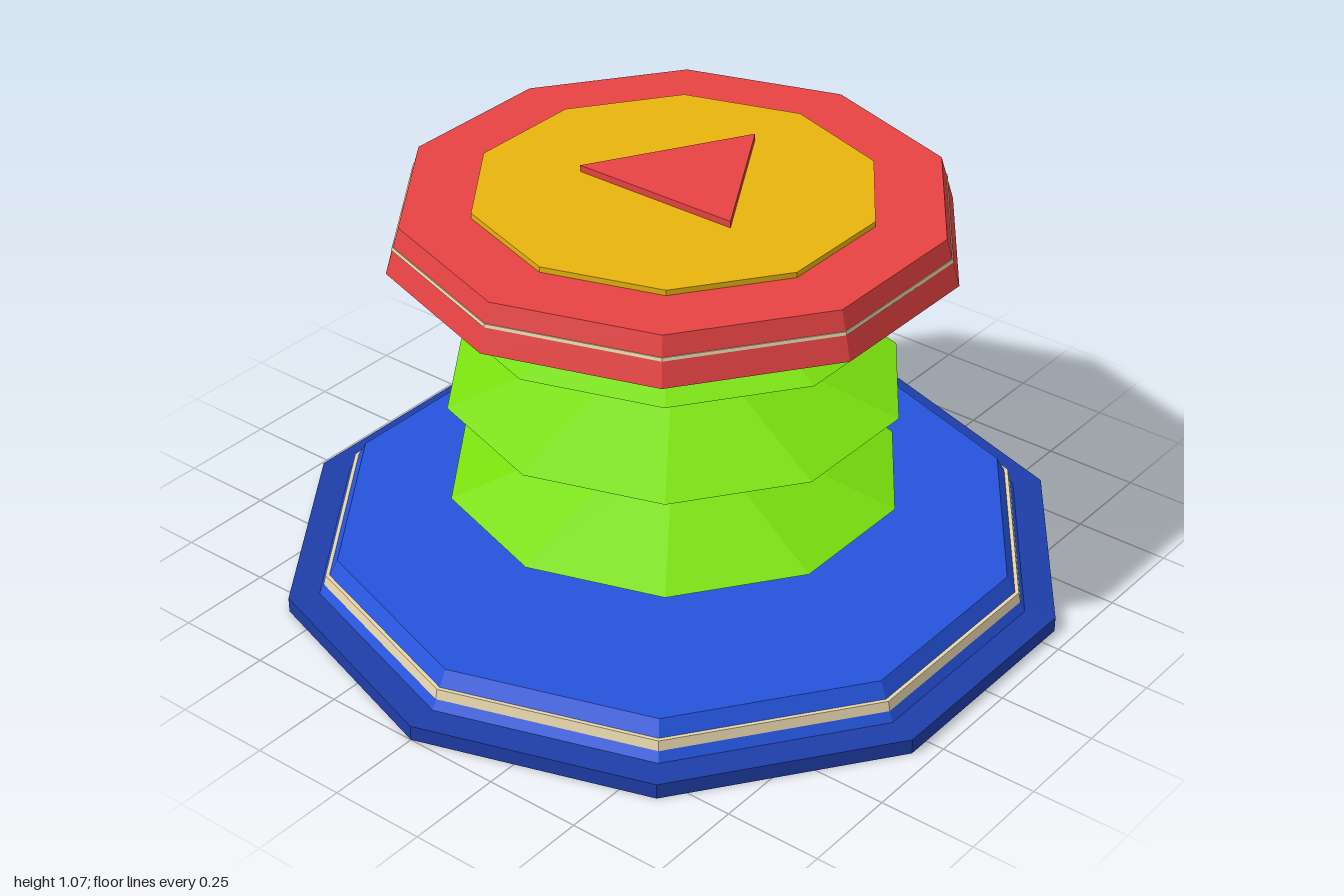
import * as THREE from 'three';

const SIDES = 10;

function material(name, color) {
  const m = new THREE.MeshStandardMaterial({ color });
  m.name = name;
  return m;
}

export function createModel() {
  const model = new THREE.Group();
  model.name = 'springButton';

  const navy = material('navy', 0x1e3ea8);
  const blue = material('blue', 0x2554dc);
  const cream = material('cream', 0xe6d6ac);
  const green = material('green', 0x7ae00e);
  const red = material('red', 0xe84343);
  const gold = material('gold', 0xecb80e);

  // Faceted prism or frustum between two heights, with a corner on +x
  function ring(name, mat, y0, y1, r0, r1, sides = SIDES, open = false) {
    const geo = new THREE.CylinderGeometry(r1, r0, y1 - y0, sides, 1, open, Math.PI / 2).toNonIndexed();
    geo.computeVertexNormals();
    const mesh = new THREE.Mesh(geo, mat);
    mesh.name = name;
    mesh.position.y = (y0 + y1) / 2;
    return mesh;
  }

  // Stepped base with trim band
  model.add(
    ring('basePlate', navy, 0, 0.04, 1, 1),
    ring('baseBody', blue, 0.04, 0.131, 0.922, 0.872),
    ring('baseTrim', cream, 0.066, 0.091, 0.91, 0.904)
  );

  // Three bellows folds, each widening then narrowing
  const bellows = new THREE.Group();
  bellows.name = 'bellows';
  const half = 0.132, neck = 0.158, wide = 0.578;
  for (let i = 0; i < 3; i++) {
    const y = 0.131 + i * half * 2;
    bellows.add(
      ring('foldLower', green, y, y + half, neck, wide, SIDES, true),
      ring('foldUpper', green, y + half, y + half * 2, wide, neck, SIDES, true)
    );
  }
  model.add(bellows);

  // Button cap with thin trim line and gold disc
  model.add(
    ring('cap', red, 0.923, 1.041, 0.71, 0.675),
    ring('capTrim', cream, 0.984, 0.992, 0.694, 0.692),
    ring('capDisc', gold, 1.041, 1.055, 0.5, 0.5)
  );

  // Raised triangular arrow pointing to +x
  const arrow = ring('arrow', red, 1.055, 1.072, 0.264, 0.264, 3);
  arrow.position.x = 0.05;
  model.add(arrow);

  return model;
}
